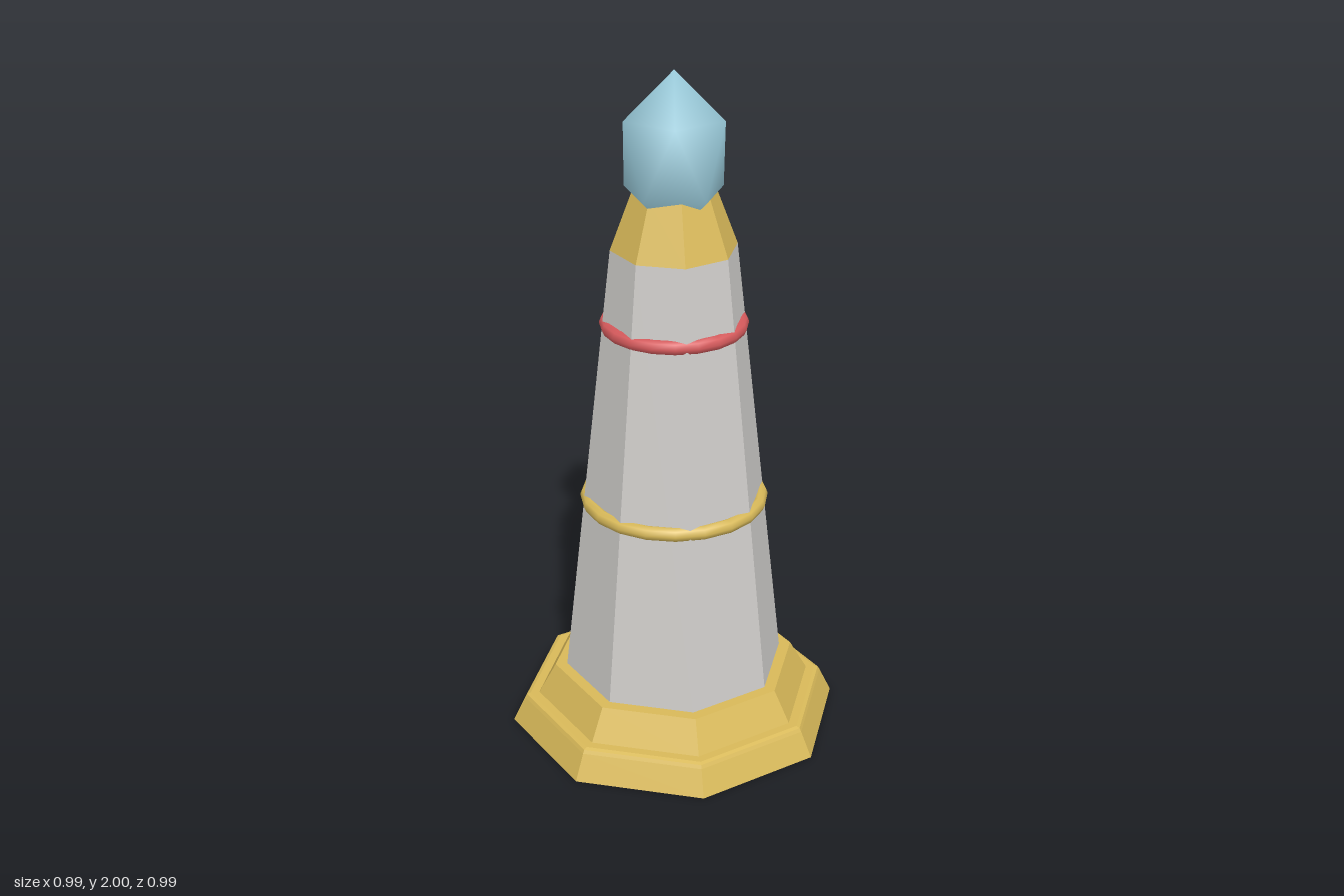
import * as THREE from 'three';
import { mergeVertices } from 'three/addons/utils/BufferGeometryUtils.js';

const mat = (name, color, flatShading = false) => {
  const m = new THREE.MeshStandardMaterial({ color, flatShading });
  m.name = name;
  return m;
};

export function createModel() {
  const group = new THREE.Group();
  const gold = mat('gold', 0xd8b959, true);
  const stone = mat('stone', 0xcfcdca, true);
  const red = mat('red', 0xd65a5c);
  const crystal = mat('crystal', 0x9ccede);
  const smoothGold = gold.clone();
  smoothGold.flatShading = false;

  const add = (name, geometry, material, y = 0) => {
    const mesh = new THREE.Mesh(geometry, material);
    mesh.name = name;
    mesh.position.y = y;
    group.add(mesh);
  };

  // Octagonal solid turned from [radius, height] points
  const octagon = (name, profile, material) => add(name,
    new THREE.LatheGeometry(profile.map(([r, y]) => new THREE.Vector2(r, y)), 8), material);

  // Stepped plinth, the lower step with an eased upper edge
  octagon('lowerPlinth', [[0, 0], [0.495, 0], [0.459, 0.076], [0.453, 0.086], [0.442, 0.09], [0, 0.09]], gold);
  octagon('upperPlinth', [[0, 0.085], [0.418, 0.085], [0.363, 0.183], [0, 0.183]], gold);

  // Tapered shaft and its collar
  octagon('shaft', [[0, 0.18], [0.328, 0.18], [0.18, 1.5], [0, 1.5]], stone);
  octagon('collar', [[0, 1.5], [0.18, 1.5], [0.118, 1.665], [0, 1.665]], gold);

  // Bands around the shaft
  const band = (name, radius, y, material) => add(name,
    new THREE.TorusGeometry(radius, 0.021, 8, 20).rotateX(Math.PI / 2), material, y);
  band('goldBand', 0.254, 0.732, smoothGold);
  band('redBand', 0.191, 1.276, red);

  // Crystal: a stretched icosahedron standing on one corner, shaded smooth
  let gem = new THREE.IcosahedronGeometry(1, 0);
  gem.deleteAttribute('uv');
  gem.deleteAttribute('normal');
  gem.rotateZ(-Math.atan(2 / (1 + Math.sqrt(5)))).scale(0.162, 0.233, 0.162);
  gem = mergeVertices(gem, 1e-4);
  gem.computeVertexNormals();
  add('crystal', gem, crystal, 1.767);

  return group;
}
